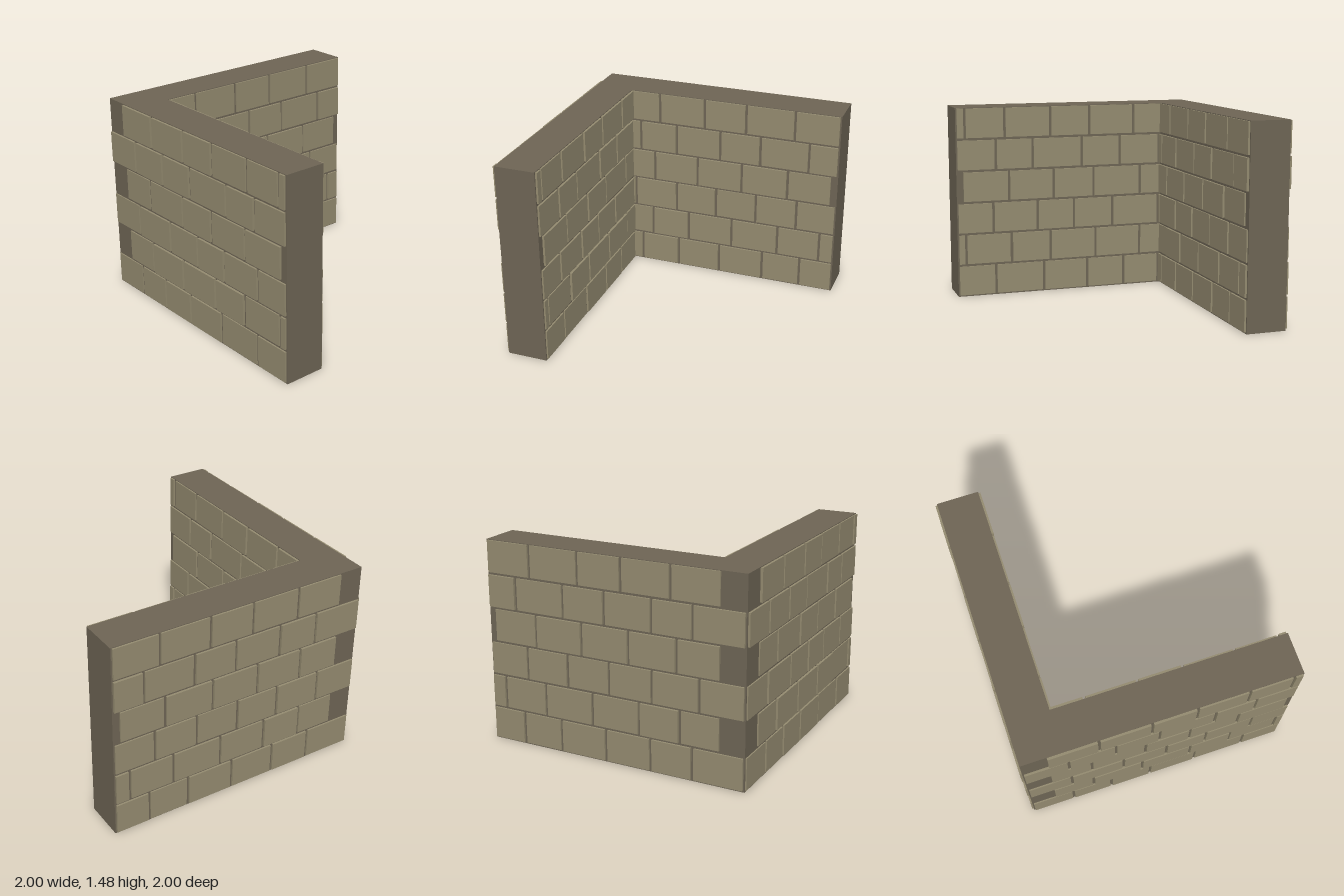
import * as THREE from 'three';

const CORE_HEIGHT = 1.48;
const ROW_PITCH = 0.247;
const BRICK_HEIGHT = 0.228;
const JOINT = 0.02;
const WALL_CENTRE = 0.83;

// Each row lists its start, the mortar joints and its end, measured along the wall from the corner.
const FRONT_ROWS = [
  [-0.98, -0.66, -0.36, -0.05, 0.31, 0.7, 1],
  [-0.805, -0.497, -0.12, 0.255, 0.572, 0.935, 1],
  [-0.98, -0.655, -0.265, 0.06, 0.36, 0.715, 1],
  [-0.805, -0.5, -0.105, 0.225, 0.587, 0.957],
  [-0.98, -0.66, -0.325, -0.008, 0.395, 0.69, 1],
  [-0.805, -0.44, -0.07, 0.25, 0.617, 0.93, 1],
];
const SIDE_ROWS = [
  [-0.98, -0.6, -0.285, 0.063, 0.425, 0.735, 1],
  [-0.805, -0.507, -0.2, 0.165, 0.545, 0.885, 1],
  [-0.98, -0.652, -0.3, 0.03, 0.36, 0.69, 1],
  [-0.805, -0.485, -0.125, 0.24, 0.61, 0.957],
  [-0.98, -0.602, -0.3, 0.06, 0.385, 0.77, 1],
  [-0.805, -0.44, -0.07, 0.265, 0.65, 1],
];

function seeded(seed) {
  return () => {
    seed = (seed * 16807) % 2147483647;
    return seed / 2147483647;
  };
}

// Bricks pass right through the core, so they stand proud on both faces.
function brickWall(name, rows, material, random) {
  const wall = new THREE.Group();
  wall.name = name;
  rows.forEach((stops, row) => {
    for (let i = 0; i < stops.length - 1; i++) {
      const length = stops[i + 1] - stops[i] - JOINT;
      const depth = 0.318 + random() * 0.018;
      const brick = new THREE.Mesh(new THREE.BoxGeometry(length, BRICK_HEIGHT, depth), material);
      brick.name = 'brick';
      brick.position.set((stops[i] + stops[i + 1]) / 2, 0.012 + row * ROW_PITCH + BRICK_HEIGHT / 2, WALL_CENTRE);
      wall.add(brick);
    }
  });
  return wall;
}

export function createModel() {
  const model = new THREE.Group();
  model.name = 'cornerBrickWall';
  const mortar = new THREE.MeshStandardMaterial({ color: 0x6e6555 });
  const stone = new THREE.MeshStandardMaterial({ color: 0x948b70 });
  const random = seeded(47);

  // L-shaped mortar core, extruded upwards
  const plan = new THREE.Shape([
    [-0.98, -0.98], [1, -0.98], [1, -0.68], [-0.68, -0.68], [-0.68, 1], [-0.98, 1],
  ].map(([x, y]) => new THREE.Vector2(x, y)));
  const coreGeometry = new THREE.ExtrudeGeometry(plan, { depth: CORE_HEIGHT, bevelEnabled: false });
  coreGeometry.rotateX(-Math.PI / 2);
  const core = new THREE.Mesh(coreGeometry, mortar);
  core.name = 'mortarCore';
  model.add(core);

  // Front wall bricks, then the side wall bricks turned to run backwards
  model.add(brickWall('frontWallBricks', FRONT_ROWS, stone, random));
  const side = brickWall('sideWallBricks', SIDE_ROWS, stone, random);
  for (const brick of side.children) {
    const { x, z } = brick.position;
    brick.position.x = -z;
    brick.position.z = -x;
    brick.rotation.y = Math.PI / 2;
  }
  model.add(side);
  return model;
}
